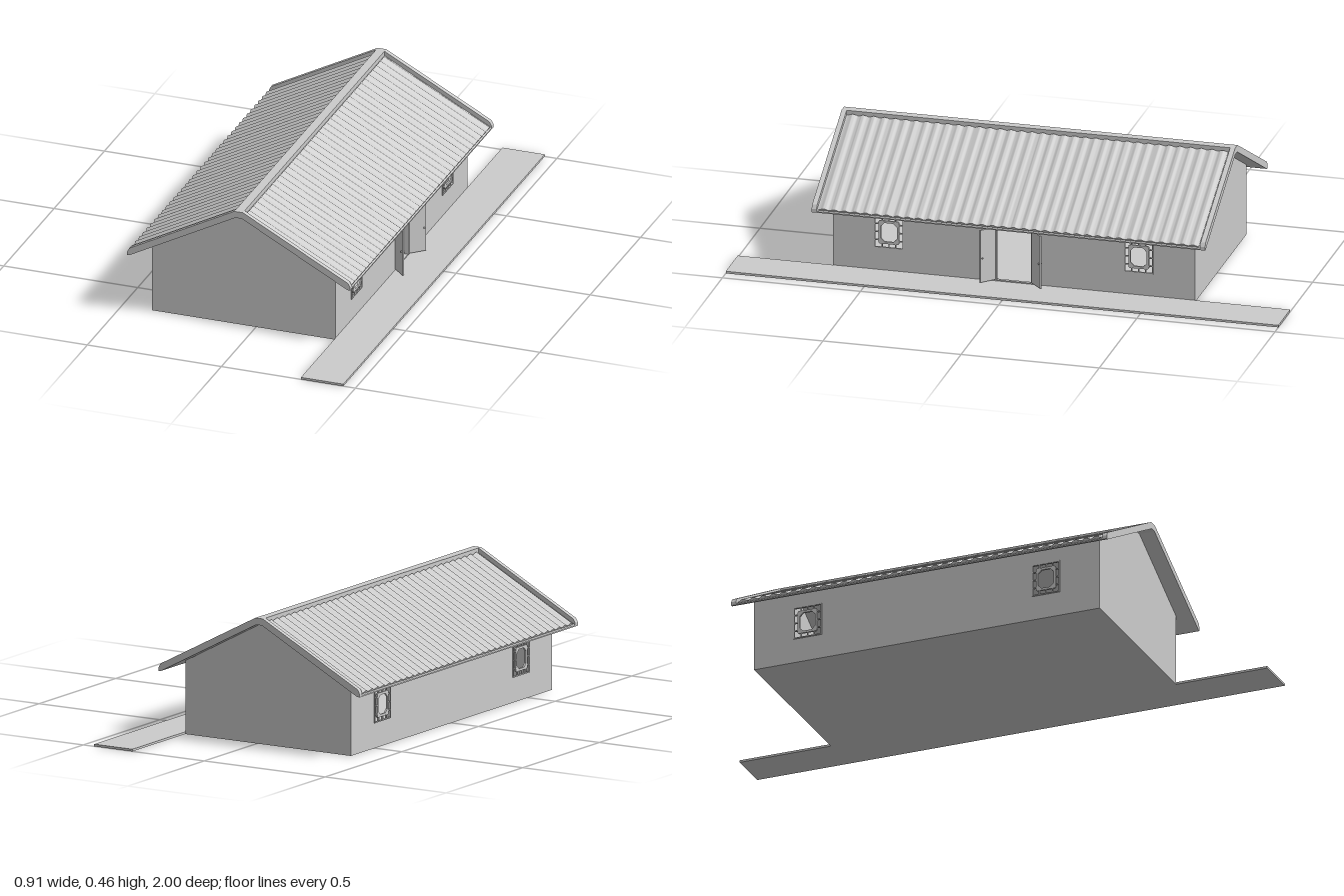
import * as THREE from 'three';
import { mergeGeometries, toCreasedNormals } from 'three/addons/utils/BufferGeometryUtils.js';

const material = new THREE.MeshStandardMaterial({ color: 0xcccccc });
const CX = -0.044;           // ridge line
const WALL_L = -0.388, WALL_R = 0.297, WALL_Z = 0.655, WALL_T = 0.012, EAVE_Y = 0.262;
const SLOPE = Math.atan(0.53);
const RIDGE_Y = 0.462, ROOF_Z = 0.712;

function shapeOf(points) {
  return new THREE.Shape(points.map(([x, y]) => new THREE.Vector2(x, y)));
}
function rectPath(x0, x1, y0, y1) {
  return new THREE.Path([[x0, y0], [x1, y0], [x1, y1], [x0, y1]].map(([x, y]) => new THREE.Vector2(x, y)));
}
function extrude(shape, depth) {
  return new THREE.ExtrudeGeometry(shape, { depth, bevelEnabled: false });
}
function add(parent, name, geometry, x = 0, y = 0, z = 0) {
  const mesh = new THREE.Mesh(geometry, material);
  mesh.name = name;
  mesh.position.set(x, y, z);
  parent.add(mesh);
  return mesh;
}
function box(parent, name, x0, x1, y0, y1, z0, z1) {
  return add(parent, name, new THREE.BoxGeometry(x1 - x0, y1 - y0, z1 - z0),
    (x0 + x1) / 2, (y0 + y1) / 2, (z0 + z1) / 2);
}

const WIN = { z: 0.452, y: 0.15, hw: 0.053, hh: 0.06 };
const DOOR = { hw: 0.068, y0: 0.012, y1: 0.212 };

// Gabled outline, lowered from the roof top by drop
function roofProfile(drop) {
  const right = [[0.016, RIDGE_Y - drop], [0.408, 0.254 - drop], [0.4155, 0.240 - drop * 0.5],
    [0.4155, 0.227], [0.406, 0.228], [0.012, 0.438]];
  const left = right.map(([x, y]) => [-x, y]).reverse();
  return shapeOf([...right, ...left].map(([x, y]) => [x + CX, y]));
}

// Long wall with window holes and, if asked, a doorway
function sideWall(withDoor) {
  const s = shapeOf([[-WALL_Z, 0], [WALL_Z, 0], [WALL_Z, EAVE_Y], [-WALL_Z, EAVE_Y]]);
  for (const c of [-WIN.z, WIN.z])
    s.holes.push(rectPath(c - WIN.hw, c + WIN.hw, WIN.y - WIN.hh, WIN.y + WIN.hh));
  if (withDoor) s.holes.push(rectPath(-DOOR.hw, DOOR.hw, DOOR.y0, DOOR.y1));
  return extrude(s, WALL_T).rotateY(Math.PI / 2);
}

// Window grille: outer frame, octagonal ring and bars joining them
function windowGeometry() {
  const { hw, hh } = WIN, parts = [], t = 0.004, d = 0.007;
  const frame = shapeOf([[-hw, -hh], [hw, -hh], [hw, hh], [-hw, hh]]);
  frame.holes.push(rectPath(-hw + t, hw - t, -hh + t, hh - t));
  parts.push(extrude(frame, d));
  const octagon = (w, h, c) => [[-w + c, -h], [w - c, -h], [w, -h + c], [w, h - c],
    [w - c, h], [-w + c, h], [-w, h - c], [-w, -h + c]];
  const ring = shapeOf(octagon(0.037, 0.043, 0.004));
  ring.holes.push(shapeOf(octagon(0.029, 0.035, 0.013)));
  parts.push(extrude(ring, d));
  for (const s of [-1, 1]) for (const k of [-1, 0, 1]) {
    const side = shapeOf([[0.036, -0.0017], [hw - t, -0.0017], [hw - t, 0.0017], [0.036, 0.0017]]);
    const cap = shapeOf([[-0.0017, 0.042], [0.0017, 0.042], [0.0017, hh - t], [-0.0017, hh - t]]);
    const turn = s < 0 ? Math.PI : 0;
    parts.push(extrude(side, d).rotateZ(turn).translate(0, k * 0.03, 0));
    parts.push(extrude(cap, d).rotateZ(turn).translate(k * 0.025, 0, 0));
  }
  return mergeGeometries(parts).rotateY(Math.PI / 2);
}

// Corrugated sheet in (along ridge, height), extruded down the slope
function sheetGeometry(side) {
  const half = 0.688, waves = 36, steps = 8, pts = [[-half, -0.018], [half, -0.018]];
  for (let i = waves * steps; i >= 0; i--) {
    const u = i / steps;
    pts.push([-half + (2 * half * u) / waves, -0.0085 - 0.0035 * Math.cos(u * 2 * Math.PI)]);
  }
  const g = toCreasedNormals(extrude(shapeOf(pts), 0.445), 0.9);
  const c = Math.cos(SLOPE), s = Math.sin(SLOPE);
  const m = new THREE.Matrix4().makeBasis(
    new THREE.Vector3(0, 0, -side),
    new THREE.Vector3(side * s, c, 0),
    new THREE.Vector3(side * c, -s, 0));
  m.setPosition(CX + side * 0.025, RIDGE_Y - 0.005, 0);
  return g.applyMatrix4(m);
}

export function createModel() {
  const model = new THREE.Group();
  model.name = 'house';

  // Floor and walls
  const walls = new THREE.Group();
  walls.name = 'walls';
  model.add(walls);
  box(walls, 'floor', WALL_L, WALL_R, 0, 0.01, -WALL_Z, WALL_Z);
  add(walls, 'rightWall', sideWall(true), WALL_R - WALL_T);
  add(walls, 'leftWall', sideWall(false), WALL_L);
  const gable = extrude(shapeOf([[WALL_L, 0], [WALL_R, 0], [WALL_R, EAVE_Y],
    [CX + 0.012, 0.438], [CX - 0.012, 0.438], [WALL_L, EAVE_Y]]), WALL_T);
  add(walls, 'frontGable', gable, 0, 0, WALL_Z - WALL_T);
  add(walls, 'backGable', gable, 0, 0, -WALL_Z);

  // Roof deck, gable trims, ridge cap and corrugated sheets
  const roof = new THREE.Group();
  roof.name = 'roof';
  model.add(roof);
  add(roof, 'roofDeck', extrude(roofProfile(0.017), 2 * ROOF_Z - 0.02), 0, 0, -ROOF_Z + 0.01);
  const trim = extrude(roofProfile(0), 0.018);
  add(roof, 'frontTrim', trim, 0, 0, ROOF_Z - 0.018);
  add(roof, 'backTrim', trim, 0, 0, -ROOF_Z);
  box(roof, 'ridgeCap', CX - 0.016, CX + 0.016, 0.44, RIDGE_Y, -ROOF_Z + 0.01, ROOF_Z - 0.01);
  for (const side of [-1, 1])
    add(roof, side > 0 ? 'rightSlopeSheet' : 'leftSlopeSheet', sheetGeometry(side));

  // Windows in both long walls
  const windowShape = windowGeometry();
  for (const z of [-WIN.z, WIN.z]) {
    add(model, 'window', windowShape, WALL_R - 0.003, WIN.y, z);
    add(model, 'window', windowShape, WALL_L - 0.004, WIN.y, z);
  }

  // Door frame and two open leaves with handles
  const door = new THREE.Group();
  door.name = 'doorway';
  model.add(door);
  const x0 = WALL_R - WALL_T, x1 = WALL_R + 0.003;
  box(door, 'doorHead', x0, x1, DOOR.y1 - 0.006, DOOR.y1, -DOOR.hw, DOOR.hw);
  for (const s of [-1, 1]) {
    const jamb = s * (DOOR.hw - 0.003);
    box(door, 'doorJamb', x0, x1, DOOR.y0, DOOR.y1, jamb - 0.003, jamb + 0.003);
    const leaf = new THREE.Group();
    leaf.name = 'doorLeaf';
    leaf.position.set(WALL_R + 0.003, 0, s * DOOR.hw);
    leaf.rotation.y = -s * 0.76;
    door.add(leaf);
    box(leaf, 'doorPanel', 0, 0.061, 0.015, 0.21, -0.003, 0.003);
    for (const f of [-1, 1]) {
      add(leaf, 'doorHandle', new THREE.SphereGeometry(0.003, 10, 8), 0.054, 0.105, f * 0.005);
    }
  }

  // Walkway along the entrance side
  box(model, 'walkway', WALL_R, 0.455, 0, 0.008, -1, 1);
  return model;
}
